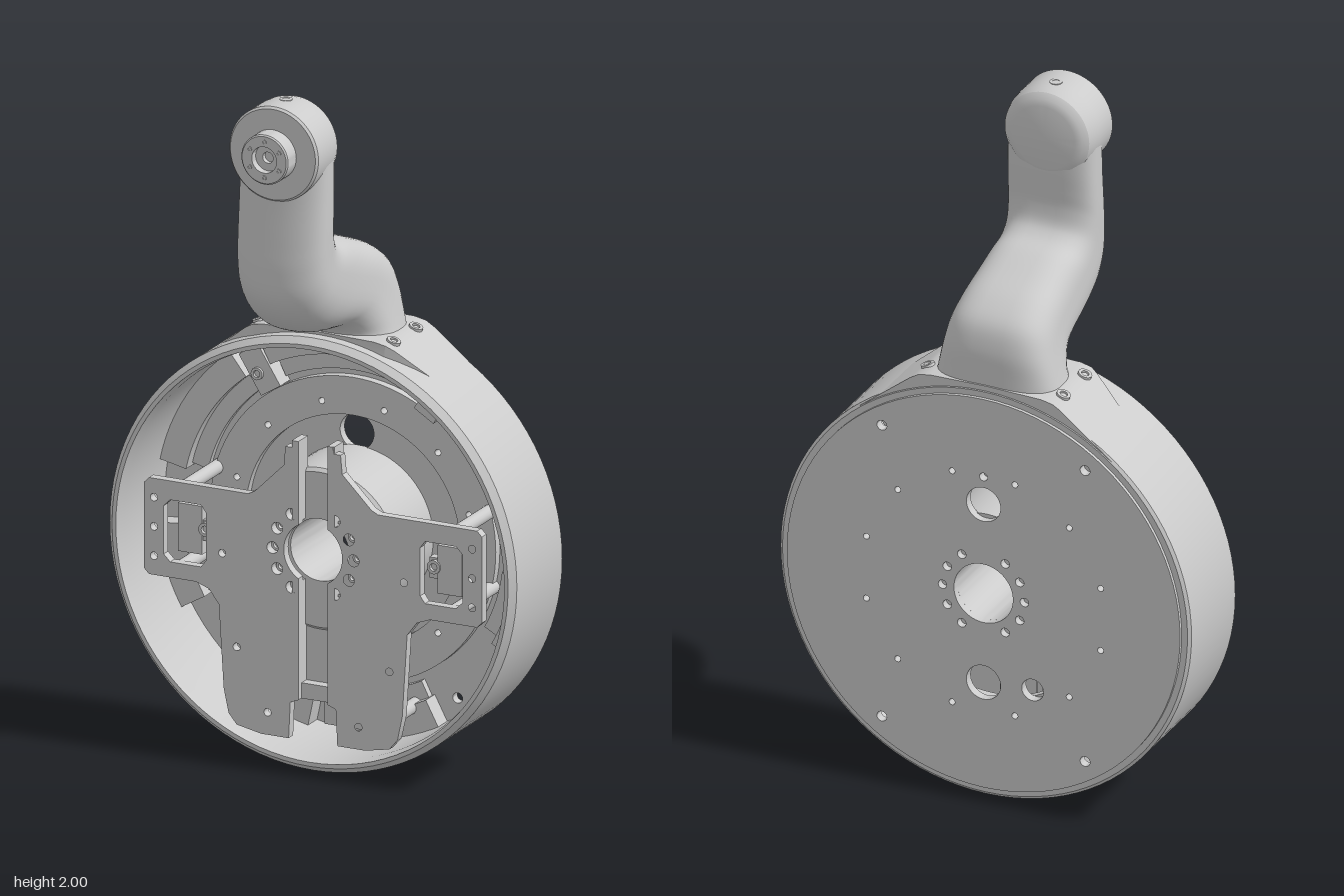
import * as THREE from 'three';
import { toCreasedNormals } from 'three/addons/utils/BufferGeometryUtils.js';

const CY = 0.63; // height of the drum axis
const BORE = 0.09;
const grey = new THREE.MeshStandardMaterial({ color: 0xcccccc });

export function createModel() {
  const model = new THREE.Group();

  const add = (name, geo, x = 0, y = 0, z = 0) => {
    const mesh = new THREE.Mesh(geo, grey);
    mesh.name = name;
    mesh.position.set(x, y, z);
    model.add(mesh);
    return mesh;
  };
  const circle = (x, y, r) => new THREE.Path().absarc(x, y, r, 0, Math.PI * 2, true);
  const disc = (r) => new THREE.Shape().absarc(0, 0, r, 0, Math.PI * 2, false);
  const outline = (pts) => new THREE.Shape(pts.map(([x, y]) => new THREE.Vector2(x, y)));
  // flat part between two depths
  const slab = (shape, z0, z1, curveSegments = 24) => toCreasedNormals(
    new THREE.ExtrudeGeometry(shape, { depth: z1 - z0, bevelEnabled: false, curveSegments }).translate(0, 0, z0), 0.5);
  // profile of [radius, z] turned around the z axis
  const turned = (pts, segments = 72) => toCreasedNormals(
    new THREE.LatheGeometry(pts.map(([r, z]) => new THREE.Vector2(r, z)), segments).rotateX(Math.PI / 2), 0.5);
  const box = (w, h, d) => new THREE.BoxGeometry(w, h, d);
  // socket screw facing +z
  const screwGeo = (r, h = 0.012) => turned([[r, -h], [r, h * 0.3], [r * 0.55, h * 0.3], [r * 0.55, -h * 0.6], [0, -h * 0.6]], 16);
  const sector = (r0, r1, a0, a1) => {
    const s = new THREE.Shape();
    const d = Math.PI / 180;
    s.absarc(0, 0, r1, a0 * d, a1 * d, false);
    s.absarc(0, 0, r0, a1 * d, a0 * d, true);
    s.closePath();
    return s;
  };

  // Drum wall with chamfered front rim
  add('drumWall', turned([
    [0.597, -0.282], [0.618, -0.282], [0.627, -0.275], [0.627, 0], [0.61, 0.02],
    [0.598, 0.02], [0.598, 0], [0.592, -0.02], [0.592, -0.282], [0.597, -0.282],
  ], 96), 0, CY, 0);

  // Back plate and raised inner ring, sharing a circle of small holes
  const back = disc(0.6);
  const ring = disc(0.44);
  ring.holes.push(circle(0, 0, 0.33));
  back.holes.push(circle(0, 0, BORE), circle(0, 0.275, 0.052), circle(0, -0.275, 0.052), circle(-0.15, -0.265, 0.033));
  back.holes.push(circle(0, 0.36, 0.012));
  for (let i = 0; i < 12; i++) {
    const a = (15 + i * 30) * Math.PI / 180;
    for (const s of [back, ring]) s.holes.push(circle(0.37 * Math.cos(a), 0.37 * Math.sin(a), 0.009));
  }
  for (const sx of [-1, 1]) for (const sy of [-1, 1]) back.holes.push(circle(0.31 * sx, 0.45 * sy, 0.015));
  const boltAngles = [0, 28, 58, -28, -58].flatMap((a) => [a, 180 - a]).map((a) => a * Math.PI / 180);
  for (const a of boltAngles) back.holes.push(circle(0.125 * Math.cos(a), 0.125 * Math.sin(a), 0.013));
  add('backPlate', slab(back, -0.292, -0.265, 48), 0, CY);
  add('innerRing', slab(ring, -0.265, -0.24, 48), 0, CY);

  // Raised pads between the ring and the wall
  for (const [a0, a1] of [[62, 118], [12, 52], [128, 168], [-30, -6], [186, 210], [-78, -62], [242, 258]]) {
    add('floorPad', slab(sector(0.51, 0.594, a0, a1), -0.27, -0.21), 0, CY);
    add('floorStep', slab(sector(0.46, 0.515, a0 + 1, a1 - 1), -0.27, -0.245), 0, CY);
  }
  for (const s of [-1, 1]) {
    const boss = add('mountBoss', box(0.07, 0.13, 0.06), s * 0.27, CY + 0.43, -0.235);
    boss.rotation.z = -s * 0.56;
    add('bossScrew', screwGeo(0.018), s * 0.275, CY + 0.42, -0.2);
  }

  // Hub tube around the bore
  add('hub', turned([
    [BORE, -0.27], [0.235, -0.27], [0.235, -0.05], [0.225, -0.04], [BORE, -0.04], [BORE, -0.27],
  ]), 0, CY);

  // Front bracket: two mirrored halves with a channel between them
  for (const s of [-1, 1]) {
    const pts = [[0.045, 0.95], [0.06, 0.95], [0.065, 0.93], [0.085, 0.93], [0.09, 0.875], [0.18, 0.785], [0.2, 0.775],
      [0.505, 0.775], [0.52, 0.76], [0.52, 0.51], [0.505, 0.495], [0.36, 0.495], [0.32, 0.48], [0.29, 0.44],
      [0.275, 0.2], [0.26, 0.13], [0.235, 0.1], [0.16, 0.085], [0.075, 0.085], [0.07, 0.19], [0.045, 0.2]];
    for (let i = 0; i <= 16; i++) {
      const a = (-1 + i / 8) * Math.PI / 3;
      pts.push([BORE * Math.cos(a), CY + BORE * Math.sin(a)]);
    }
    const half = outline(pts.map(([x, y]) => [s * x, y]));
    const window = [[0.345, 0.54], [0.44, 0.54], [0.46, 0.56], [0.46, 0.7], [0.44, 0.72], [0.345, 0.72], [0.33, 0.7], [0.33, 0.56]];
    half.holes.push(new THREE.Path(window.map(([x, y]) => new THREE.Vector2(s * x, y))));
    for (const [x, y] of [[0.28, 0.59], [0.235, 0.325], [0.14, 0.15], [0.49, 0.72], [0.49, 0.635], [0.49, 0.55]])
      half.holes.push(circle(s * x, y, 0.011));
    for (const a of boltAngles.filter((_, i) => i % 2 === 0))
      half.holes.push(circle(s * 0.125 * Math.cos(a), CY + 0.125 * Math.sin(a), 0.017));
    add('bracketHalf', slab(half, -0.025, 0.002, 12));
    for (const a of boltAngles.filter((_, i) => i % 2 === 0))
      add('hubBolt', screwGeo(0.015), s * 0.125 * Math.cos(a), CY + 0.125 * Math.sin(a), -0.025);
    // channel side ribs above and below the bore
    add('channelRib', box(0.02, 0.235, 0.055), s * 0.055, 0.8325, -0.0275);
    add('channelRib', box(0.02, 0.34, 0.055), s * 0.055, 0.37, -0.0275);
    // clamp behind the window, carried by posts
    add('clampBlock', box(0.075, 0.14, 0.04), s * 0.4, CY, -0.06);
    add('clampScrew', screwGeo(0.02), s * 0.352, CY + 0.005, -0.038);
    add('clampTab', box(0.05, 0.06, 0.03), s * 0.36, CY, -0.06);
    for (const y of [0.52, 0.745])
      add('bracketPost', new THREE.CylinderGeometry(0.02, 0.02, 0.245, 16).rotateX(Math.PI / 2), s * 0.42, y, -0.145);
    add('lowerPost', new THREE.CylinderGeometry(0.02, 0.02, 0.245, 16).rotateX(Math.PI / 2), s * 0.19, 0.15, -0.145);
  }
  add('channelFloor', box(0.1, 0.33, 0.015), 0, 0.365, -0.055);
  add('channelFoot', box(0.14, 0.1, 0.05), 0, 0.115, -0.23);
  add('channelStop', box(0.09, 0.045, 0.035), 0, 0.222, -0.035);

  // Saddle on top of the drum; its front face sweeps back at the sides
  const rightEdge = [[0.2, 1.2], [0.3, 1.155], [0.385, 1.118], [0.23, 1.24], [0.205, 1.255], [0.17, 1.262]];
  const saddle = new THREE.ExtrudeGeometry(outline([[0, 1.232], ...rightEdge, [0, 1.266],
    ...rightEdge.map(([x, y]) => [-x, y]).reverse()]), { depth: 1, bevelEnabled: false });
  const sp = saddle.attributes.position;
  for (let i = 0; i < sp.count; i++)
    sp.setZ(i, sp.getZ(i) > 0.5 ? -0.03 - Math.max(0, Math.abs(sp.getX(i)) - 0.2) * 0.4 : -0.28);
  saddle.computeVertexNormals();
  add('saddle', toCreasedNormals(saddle, 0.4));
  for (const s of [-1, 1]) for (const z of [-0.215, -0.08]) {
    const screw = add('saddleScrew', screwGeo(0.02), s * 0.207, 1.256, z);
    screw.rotation.set(-Math.PI / 2, s * 0.35, 0);
  }

  // Cranked arm: sections of [front z, front y, back z, back y, half width]
  const keys = [
    [-0.03, 1.23, -0.275, 1.23, 0.19], [-0.04, 1.26, -0.275, 1.29, 0.178], [-0.015, 1.285, -0.273, 1.37, 0.165],
    [0.02, 1.298, -0.25, 1.44, 0.155], [0.06, 1.302, -0.19, 1.49, 0.148], [0.11, 1.31, -0.1, 1.53, 0.142],
    [0.17, 1.335, -0.02, 1.56, 0.138], [0.22, 1.38, 0.045, 1.575, 0.136], [0.25, 1.44, 0.078, 1.6, 0.135],
    [0.255, 1.52, 0.092, 1.65, 0.135], [0.25, 1.6, 0.092, 1.7, 0.135], [0.24, 1.73, 0.09, 1.76, 0.134],
    [0.235, 1.87, 0.09, 1.87, 0.133],
  ];
  const front = new THREE.CatmullRomCurve3(keys.map((k) => new THREE.Vector3(k[4], k[1], k[0])));
  const rear = new THREE.CatmullRomCurve3(keys.map((k) => new THREE.Vector3(k[4], k[3], k[2])));
  const rows = 60, cols = 48, pos = [], index = [];
  const soft = (v, n) => Math.sign(v) * Math.abs(v) ** (2 / n);
  for (let i = 0; i <= rows; i++) {
    const f = front.getPoint(i / rows), b = rear.getPoint(i / rows);
    for (let j = 0; j < cols; j++) {
      const a = (j / cols) * Math.PI * 2;
      const n = Math.sin(a) > 0 ? 3.2 : 2.4; // squarer back, rounder front
      const t = 0.5 - 0.5 * soft(Math.sin(a), n);
      pos.push(f.x * soft(Math.cos(a), n), b.y + (f.y - b.y) * t, b.z + (f.z - b.z) * t);
      const k = (j + 1) % cols, r = i * cols;
      if (i < rows) index.push(r + j, r + k, r + cols + j, r + k, r + cols + k, r + cols + j);
    }
  }
  const arm = new THREE.BufferGeometry();
  arm.setAttribute('position', new THREE.Float32BufferAttribute(pos, 3));
  arm.setIndex(index);
  arm.computeVertexNormals();
  add('arm', arm);

  // Round head with softened back edge, and the output shaft
  add('head', turned([
    [0, 0.088], [0.095, 0.088], [0.115, 0.094], [0.129, 0.108], [0.135, 0.13], [0.137, 0.16],
    [0.137, 0.238], [0.131, 0.245], [0, 0.245],
  ], 64), 0, 1.863, 0);
  add('shaft', turned([
    [0.072, 0.24], [0.072, 0.294], [0.068, 0.298], [0.038, 0.298], [0.038, 0.275], [0.016, 0.275], [0.016, 0.26], [0, 0.26],
  ], 48), 0, 1.863, 0);
  for (let i = 0; i < 6; i++) {
    const a = Math.PI / 6 + i * Math.PI / 3;
    add('shaftScrew', screwGeo(0.007, 0.006), 0.052 * Math.cos(a), 1.863 + 0.052 * Math.sin(a), 0.299);
  }
  const topScrew = add('headScrew', screwGeo(0.018, 0.008), 0, 1.9985, 0.165);
  topScrew.rotation.x = -Math.PI / 2;

  return model;
}
